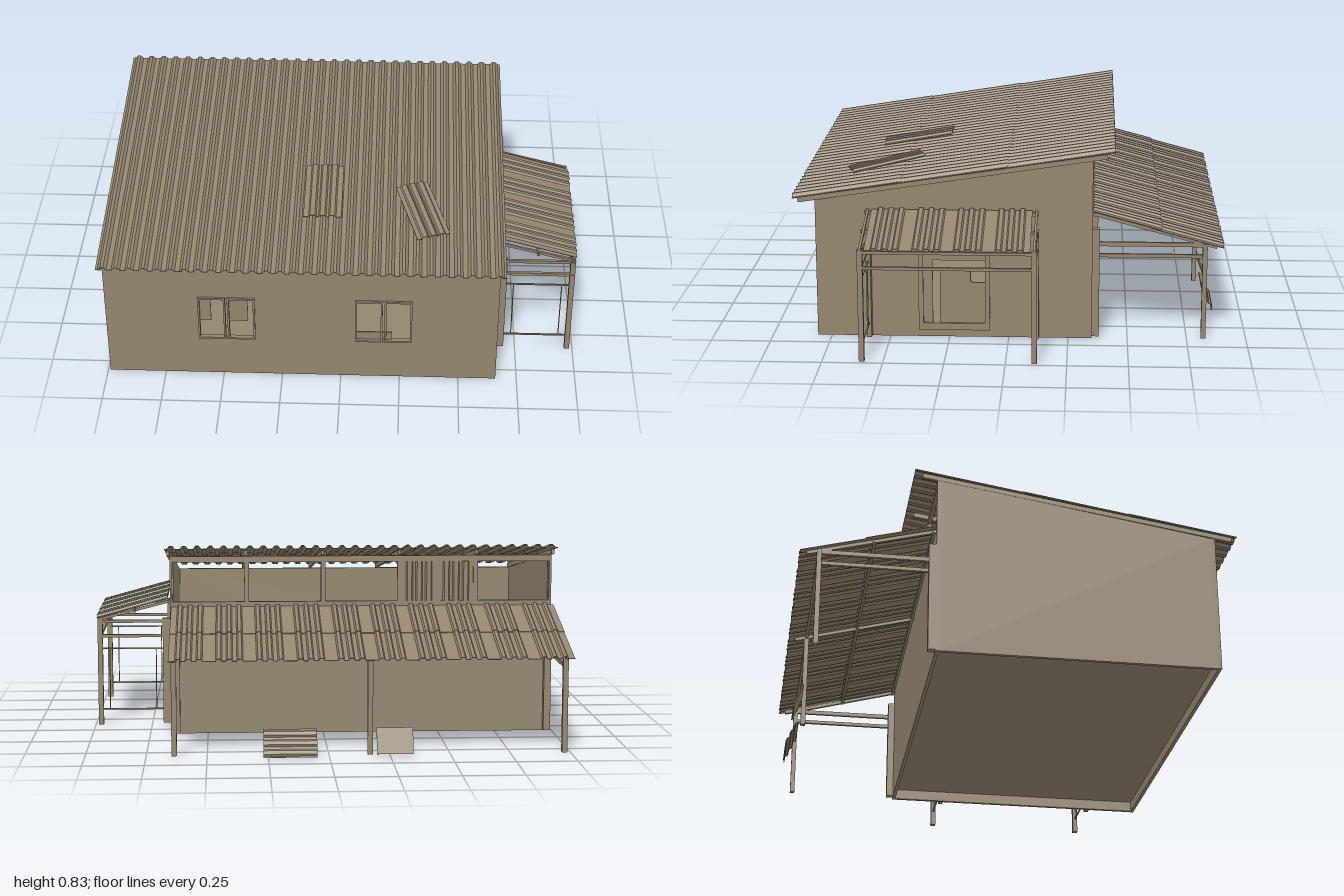
import * as THREE from 'three';

const tan = new THREE.MeshStandardMaterial({ color: 0x94866f });
tan.name = 'weathered tan';

function add(parent, name, geometry, x = 0, y = 0, z = 0) {
  const mesh = new THREE.Mesh(geometry, tan);
  mesh.name = name;
  mesh.position.set(x, y, z);
  parent.add(mesh);
  return mesh;
}

// Box given by its limits on each axis
function box(parent, name, x0, x1, y0, y1, z0, z1) {
  return add(parent, name, new THREE.BoxGeometry(x1 - x0, y1 - y0, z1 - z0),
    (x0 + x1) / 2, (y0 + y1) / 2, (z0 + z1) / 2);
}

// Square bar between two points
function bar(parent, name, a, b, w, h = w) {
  const from = new THREE.Vector3(...a), to = new THREE.Vector3(...b);
  const mesh = add(parent, name, new THREE.BoxGeometry(w, h, from.distanceTo(to)));
  mesh.position.copy(from).lerp(to, 0.5);
  mesh.lookAt(to);
  return mesh;
}

// Flat wall from an outline and rectangular openings [u0, u1, v0, v1]
function wall(outline, openings, depth) {
  const shape = new THREE.Shape(outline.map(p => new THREE.Vector2(...p)));
  for (const [a, b, c, d] of openings) {
    shape.holes.push(new THREE.Path([[a, c], [a, d], [b, d], [b, c]].map(p => new THREE.Vector2(...p))));
  }
  return new THREE.ExtrudeGeometry(shape, { depth, bevelEnabled: false });
}

// Ribbed metal sheet lying in xz, ribs running along z, centred on the origin
function sheet(width, length, ribs, base, top, height, thick = 0.003) {
  const line = [[-width / 2, 0]];
  for (const r of ribs) {
    const c = r - width / 2;
    line.push([c - base / 2, 0], [c - top / 2, height], [c + top / 2, height], [c + base / 2, 0]);
  }
  line.push([width / 2, 0]);
  const under = line.map(([x, y]) => [x, y - thick]).reverse();
  return wall([...line, ...under], [], length).translate(0, 0, -length / 2);
}

const evenRibs = (n, step) => Array.from({ length: n }, (_, i) => (i + 0.5) * step);
const tripleRibs = (n, step) => Array.from({ length: n * 3 }, (_, i) =>
  (Math.floor(i / 3) + [0.24, 0.5, 0.76][i % 3]) * step);

const SLOPE = 0.153, TILT = Math.atan(SLOPE);
const roofY = z => 0.605 + (0.9 - z) * SLOPE;

function buildHouse(g) {
  const T = 0.015, L = -0.99, R = 0.66, F = 0.81, B = -0.35;
  const topF = roofY(F) - 0.025, topB = roofY(B) - 0.025;

  // Front wall with two double windows
  const windows = [-0.48, 0.18];
  add(g, 'frontWall', wall([[L, 0], [R, 0], [R, topF], [L, topF]],
    windows.map(c => [c - 0.12, c + 0.12, 0.19, 0.4]), T), 0, 0, F - T);

  // Back wall with a row of high openings
  const bays = Array.from({ length: 5 }, (_, i) => [L + 0.01 + i * 0.33, L + 0.32 + i * 0.33, 0.575, 0.745]);
  add(g, 'backWall', wall([[L, 0], [R, 0], [R, topB], [L, topB]], bays, T), 0, 0, B);
  const blind = add(g, 'ribbedBlind', sheet(0.32, 0.17, tripleRibs(2, 0.16), 0.03, 0.018, 0.01), -0.495, 0.66, B + 0.006);
  blind.rotation.x = -Math.PI / 2;

  // Sloping side walls, the right one with the doorway
  const side = [[B + T, 0], [F - T, 0], [F - T, topF], [B + T, topB]];
  add(g, 'rightWall', wall(side, [[0.09, 0.37, 0.06, 0.43]], T), R, 0, 0).rotation.y = -Math.PI / 2;
  add(g, 'leftWall', wall(side, [], T), L + T, 0, 0).rotation.y = -Math.PI / 2;
  box(g, 'floor', L + T, R - T, 0.045, 0.06, B + T, F - T);

  // Window frames with a centre post and partial panes
  for (const c of windows) {
    for (const s of [-1, 1]) {
      const m = c + s * 0.062;
      add(g, 'windowSash', wall([[m - 0.058, 0.19], [m + 0.058, 0.19], [m + 0.058, 0.405], [m - 0.058, 0.405]],
        [[m - 0.05, m + 0.05, 0.198, 0.397]], 0.02), 0, 0, F - 0.011);
    }
  }
  box(g, 'windowBoard', -0.592, -0.545, 0.28, 0.397, F - 0.01, F - 0.004);
  box(g, 'windowBoard', -0.47, -0.39, 0.28, 0.397, F - 0.01, F - 0.004);
  box(g, 'windowBoard', 0.068, 0.215, 0.198, 0.235, F - 0.01, F - 0.004);

  // Door frame and broken door boards
  add(g, 'doorFrame', wall([[0.08, 0.03], [0.38, 0.03], [0.38, 0.44], [0.08, 0.44]],
    [[0.1, 0.36, 0.06, 0.42]], 0.018), R + 0.006, 0, 0).rotation.y = -Math.PI / 2;
  box(g, 'doorBoard', R - 0.01, R - 0.003, 0.335, 0.42, 0.1, 0.32);
  box(g, 'doorBoard', R - 0.01, R - 0.003, 0.06, 0.42, 0.32, 0.36);
  box(g, 'doorBoard', R - 0.01, R - 0.003, 0.24, 0.29, 0.16, 0.29);
  box(g, 'doorBoard', R - 0.01, R - 0.003, 0.06, 0.24, 0.1, 0.29);
}

function buildRoof(g) {
  // Three overlapping rows of sheets
  for (let i = 0; i < 3; i++) {
    const z = 0.675 - i * 0.445;
    const row = add(g, 'roofSheets', sheet(1.68, 0.46, evenRibs(30, 0.056), 0.036, 0.012, 0.013), -0.16, roofY(z) + 0.002, z);
    row.rotation.x = TILT + 0.006;
  }
  // Rafters below the sheets
  for (let i = 0; i < 6; i++) {
    const x = -0.985 + i * 0.33;
    bar(g, 'rafter', [x, roofY(0.88) - 0.014, 0.88], [x, roofY(-0.41) - 0.014, -0.41], 0.012, 0.02);
  }
  // Loose patches on top
  const patch = (x, z, w, l, turn) => {
    const holder = new THREE.Group();
    holder.name = 'roofPatch';
    holder.position.set(x, roofY(z) + 0.021, z);
    holder.rotation.x = TILT + 0.02;
    add(holder, 'patchSheet', sheet(w, l, tripleRibs(1, w), 0.032, 0.02, 0.008)).rotation.y = turn;
    g.add(holder);
  };
  patch(-0.085, 0.435, 0.16, 0.31, 0);
  patch(0.335, 0.54, 0.14, 0.32, 0.3);
}

function buildBackPorch(g) {
  // Two overlapping rows of sheets falling to the back
  const drop = 0.145 / 0.54;
  const y = z => 0.55 + (z + 0.35) * drop;
  [-0.495, -0.755].forEach((z, i) => {
    const row = add(g, 'porchSheets', sheet(1.655, 0.295, tripleRibs(10, 0.1655), 0.026, 0.014, 0.009), -0.1725, y(z) + (i ? 0 : 0.005), z);
    row.rotation.x = -Math.atan(drop);
  });
  for (const x of [-0.975, -0.17, 0.635]) {
    box(g, 'porchPost', x - 0.011, x + 0.011, 0, 0.415, -0.83, -0.81);
    bar(g, 'porchRafter', [x, y(-0.35) - 0.01, -0.35], [x, y(-0.87) - 0.01, -0.87], 0.012, 0.014);
  }
  for (const z of [-0.36, -0.6, -0.82]) box(g, 'porchPurlin', -0.985, 0.645, y(z) - 0.018, y(z) - 0.004, z - 0.006, z + 0.006);
  for (const x of [-0.975, 0.635]) {
    box(g, 'wallPost', x - 0.015, x + 0.015, 0.005, 0.475, -0.38, -0.35);
    box(g, 'porchTie', x - 0.006, x + 0.006, 0.4, 0.418, -0.82, -0.38);
    box(g, 'porchTie', x - 0.006, x + 0.006, 0.352, 0.367, -0.82, -0.38);
  }
  // Scrap leaning on the ground
  const scrap = add(g, 'leaningSheet', sheet(0.2, 0.12, [0.04, 0.1, 0.16], 0.04, 0.02, 0.008), 0.16, 0.055, -0.855);
  scrap.geometry.dispose();
  scrap.geometry = sheet(0.12, 0.22, [0.02, 0.06, 0.1], 0.03, 0.015, 0.008).rotateY(Math.PI / 2);
  scrap.rotation.x = -1.15;
  const plate = add(g, 'leaningPlate', new THREE.BoxGeometry(0.15, 0.11, 0.005), -0.27, 0.06, -0.85);
  plate.rotation.x = 0.35;
}

function buildSidePorch(g) {
  // Sheets falling away from the right wall
  const cover = new THREE.Group();
  cover.name = 'sidePorchRoof';
  cover.position.set(0.835, 0.518, 0.235);
  cover.rotation.y = Math.PI / 2;
  add(cover, 'sidePorchSheets', sheet(0.67, 0.325, tripleRibs(4, 0.1675), 0.028, 0.016, 0.009)).rotation.x = Math.atan(0.085 / 0.31);
  g.add(cover);

  for (const z of [-0.117, 0.587]) {
    box(g, 'sidePost', 0.965, 0.987, 0, 0.475, z - 0.011, z + 0.011);
    box(g, 'sideWallPost', 0.66, 0.7, 0.005, 0.475, z - 0.01, z + 0.01);
    box(g, 'sideTie', 0.7, 0.97, 0.455, 0.468, z - 0.006, z + 0.006);
    box(g, 'sideTie', 0.7, 0.97, 0.39, 0.403, z - 0.006, z + 0.006);
    bar(g, 'sideRafter', [0.66, 0.553, z], [0.985, 0.47, z], 0.01, 0.012);
    // Thin railing
    for (const y of [0.068, 0.34]) box(g, 'railing', 0.7, 0.97, y - 0.003, y + 0.003, z - 0.003, z + 0.003);
    for (const x of [0.73, 0.935]) box(g, 'railingRod', x - 0.002, x + 0.002, 0.068, 0.34, z - 0.002, z + 0.002);
  }
  // Beams along the outer edge and the wall
  for (const y of [0.462, 0.396]) box(g, 'sideBeam', 0.97, 0.983, y - 0.006, y + 0.006, -0.125, 0.6);
  box(g, 'sideLedger', 0.66, 0.672, 0.535, 0.55, -0.125, 0.6);
  box(g, 'sidePurlin', 0.82, 0.832, 0.5, 0.513, -0.125, 0.6);
}

export function createModel() {
  const model = new THREE.Group();
  model.name = 'shed';
  for (const [name, build] of Object.entries({ house: buildHouse, roof: buildRoof, backPorch: buildBackPorch, sidePorch: buildSidePorch })) {
    const part = new THREE.Group();
    part.name = name;
    build(part);
    model.add(part);
  }
  return model;
}
